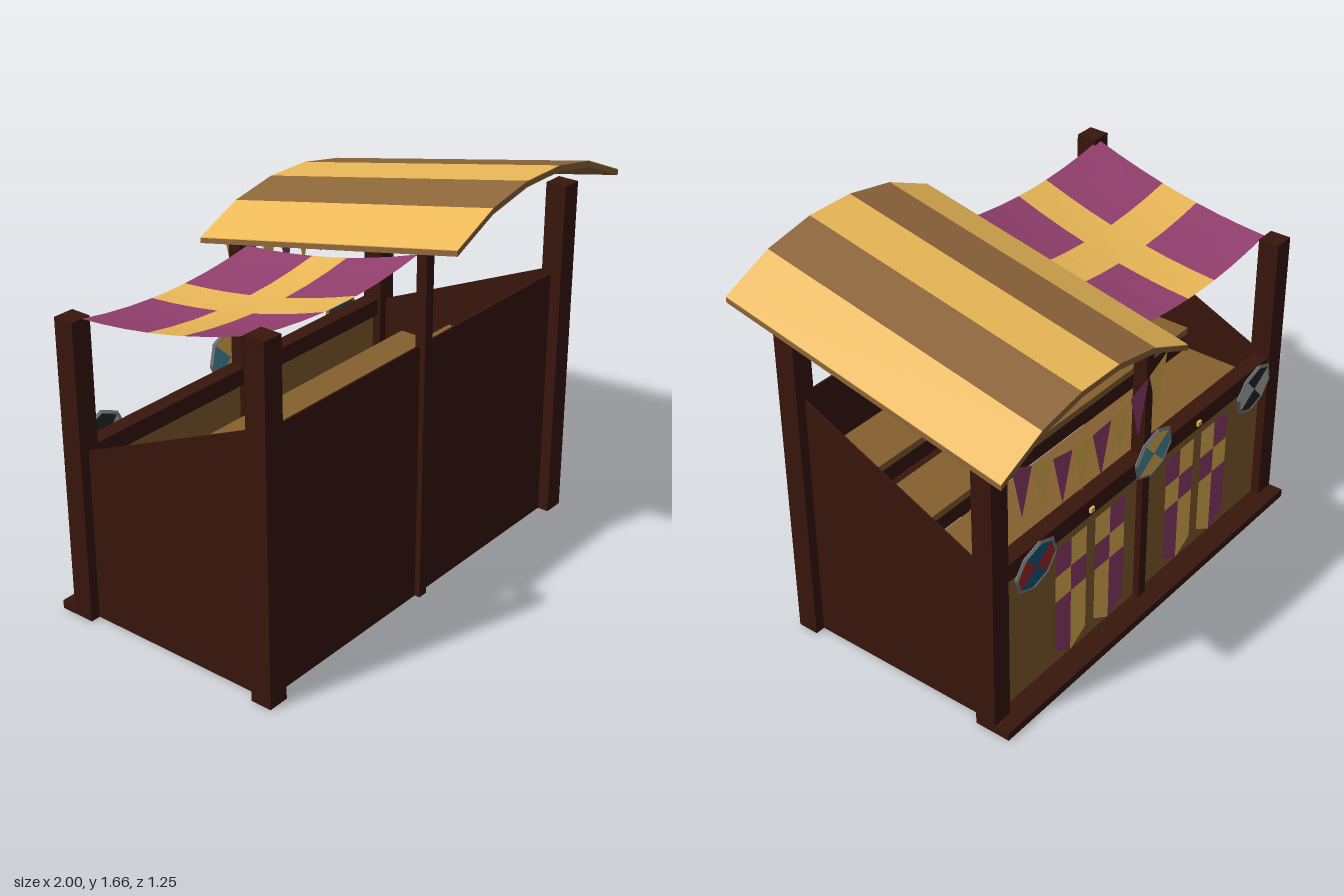
import * as THREE from 'three';

const mat = (color, side = THREE.FrontSide) =>
  new THREE.MeshStandardMaterial({ color, side, flatShading: true });
const WOOD = mat(0x38160c), TAN = mat(0x86602f), BROWN = mat(0x8f673b), GOLD = mat(0xecb957);
const STEEL = mat(0x7c8284), BLACK = mat(0x26282a), WHITE = mat(0xb4b6b6);
const TEAL = mat(0x4a93a8), BLUE = mat(0x165a80), RED = mat(0xa52a2a);
const CLOTH_GOLD = mat(0xecb957, THREE.DoubleSide), CLOTH_PURPLE = mat(0x933f6e, THREE.DoubleSide);

export function createModel() {
  const model = new THREE.Group();

  const add = (name, geometry, material, parent = model) => {
    const mesh = new THREE.Mesh(geometry, material);
    mesh.name = name;
    parent.add(mesh);
    return mesh;
  };
  // Box given by its extents on each axis
  const box = (name, [x0, x1], [y0, y1], [z0, z1], material = WOOD) => {
    const g = new THREE.BoxGeometry(x1 - x0, y1 - y0, z1 - z0);
    g.translate((x0 + x1) / 2, (y0 + y1) / 2, (z0 + z1) / 2);
    return add(name, g, material);
  };
  // Flat cloth piece from a few 2D corners
  const flat = (name, points, material, z) => {
    const shape = new THREE.Shape(points.map(([x, y]) => new THREE.Vector2(x, y)));
    add(name, new THREE.ShapeGeometry(shape), material).position.z = z;
  };

  // Corner posts and slim middle posts
  for (const [x0, x1, top] of [[-1, -0.91, 1.455], [0.815, 0.905, 1.47]]) {
    box('frontPost', [x0, x1], [0, top], [0.41, 0.5]);
    box('backPost', [x0, x1], [0, 1.265], [-0.5, -0.41]);
  }
  box('frontMiddlePost', [-0.07, -0.025], [0, 1.455], [0.43, 0.475]);
  box('backMiddlePost', [-0.07, -0.025], [0, 1.265], [-0.49, -0.43]);

  // Front wall, low back panel, rail and foot plank
  box('frontWall', [-0.955, 0.86], [0, 1.09], [0.444, 0.452]);
  box('backPanel', [-0.955, 0.86], [0, 0.7], [-0.462, -0.45], TAN);
  box('backRail', [-0.955, 0.86], [0.66, 0.735], [-0.495, -0.425]);
  box('footPlank', [-1, 0.905], [0, 0.035], [-0.565, -0.41]);

  // Thin side walls with a sloping top edge
  for (const x of [-0.957, 0.855]) {
    const s = new THREE.Shape();
    s.moveTo(-0.45, 0);
    s.lineTo(0.45, 0);
    s.lineTo(0.45, 0.712);
    s.lineTo(-0.45, 1.108);
    const g = new THREE.ExtrudeGeometry(s, { depth: 0.008, bevelEnabled: false });
    g.rotateY(Math.PI / 2);
    add('sideWall', g, WOOD).position.x = x;
  }

  // Stepped benches rising to the front wall, with a platform under the top one
  for (const [y, z0, z1] of [[0.6, -0.3, -0.07], [0.7, -0.05, 0.17], [0.82, 0.2, 0.42]]) {
    box('benchSeat', [-0.95, 0.855], [y - 0.03, y], [z0 - 0.02, z1], TAN);
    box('benchRiser', [-0.95, 0.855], [y - 0.12, y - 0.03], [z0, z0 + 0.02]);
  }
  box('benchPlatform', [-0.95, 0.855], [0.53, 0.56], [0.16, 0.445]);
  box('platformFascia', [-0.95, 0.855], [0.53, 0.6], [0.145, 0.16], TAN);

  // Arched roof: five striped planks, sloping down to the back
  const roofX = [-0.09, 0.125, 0.345, 0.56, 0.78, 1];
  const roofY = [1.52, 1.615, 1.657, 1.657, 1.615, 1.52];
  const slope = (g) => {
    const p = g.attributes.position;
    for (let i = 0; i < p.count; i++) p.setY(i, p.getY(i) - (0.62 - p.getZ(i)) * 0.21);
    g.computeVertexNormals();
    return g;
  };
  const roofStrip = (name, i, top, bottom, material) => {
    const s = new THREE.Shape();
    s.moveTo(roofX[i], roofY[i] + bottom);
    s.lineTo(roofX[i + 1], roofY[i + 1] + bottom);
    s.lineTo(roofX[i + 1], roofY[i + 1] + top);
    s.lineTo(roofX[i], roofY[i] + top);
    const g = new THREE.ExtrudeGeometry(s, { depth: 1.245, bevelEnabled: false });
    add(name, slope(g.translate(0, 0, -0.623)), material);
  };
  for (let i = 0; i < 5; i++) {
    roofStrip('roofStripe', i, 0, -0.003, i % 2 ? BROWN : GOLD);
    roofStrip('roofBoard', i, -0.003, -0.025, BROWN);
  }

  // Sagging awning with a gold cross, made of 3 x 3 patches
  const ax = [-0.95, -0.59, -0.41, -0.05], az = [-0.41, -0.08, 0.09, 0.42];
  for (let i = 0; i < 3; i++) for (let j = 0; j < 3; j++) {
    const w = ax[i + 1] - ax[i], d = az[j + 1] - az[j];
    const g = new THREE.PlaneGeometry(w, d, 3, 3);
    g.rotateX(-Math.PI / 2).translate(ax[i] + w / 2, 0, az[j] + d / 2);
    const p = g.attributes.position;
    for (let k = 0; k < p.count; k++) {
      const u = (p.getX(k) + 0.5) / 0.45, v = (p.getZ(k) + 0.41) / 0.83;
      p.setY(k, 1.265 + 0.175 * v - 0.043 * (1 - u * u) - 0.12 * v * (1 - v));
    }
    g.computeVertexNormals();
    add('awningPatch', g, i === 1 || j === 1 ? CLOTH_GOLD : CLOTH_PURPLE);
  }

  // Pennants hanging on a slack line below the back edge of the roof
  const lineY = (x) => 1.16 + 0.12 * ((x - 0.48) / 0.45) ** 2;
  for (let i = 0; i < 8; i++) {
    const x = 0.025 + i * 0.1135, x2 = x + 0.11;
    flat('pennant', [[x, lineY(x)], [x + 0.055, lineY(x + 0.055) - 0.21], [x2, lineY(x2)]],
      i % 2 ? CLOTH_PURPLE : CLOTH_GOLD, -0.61);
  }

  // Pairs of checked banners with pointed ends, and a peg between them
  for (const pair of [-0.395, 0.318]) {
    box('peg', [pair - 0.012, pair + 0.012], [0.68, 0.7], [-0.505, -0.49], GOLD);
    for (const side of [-1, 1]) for (const col of [-1, 1]) {
      const c = pair + side * 0.122, edge = c + col * 0.095;
      const outer = side === col;
      [[0.63, 0.5], [0.5, 0.38], [0.38, 0.14]].forEach(([top, low], row) => {
        const tip = row === 2 ? 0.085 : low;
        flat('banner', [[c, top], [c, tip], [edge, low], [edge, top]],
          outer === (row !== 1) ? CLOTH_PURPLE : CLOTH_GOLD, -0.497);
      });
    }
  }

  // Quartered octagonal shields leaning out from the rail
  const shields = [[-0.77, 0.665, WHITE, BLACK], [-0.05, 0.748, TEAL, GOLD], [0.68, 0.665, RED, BLUE]];
  for (const [x, y, a, b] of shields) {
    const shield = new THREE.Group();
    shield.name = 'shield';
    for (let q = 0; q < 4; q++) {
      const g = new THREE.CylinderGeometry(0.112, 0.112, 0.008, 2, 1, false,
        Math.PI / 4 + q * Math.PI / 2, Math.PI / 2);
      add('shieldQuarter', g.rotateX(Math.PI / 2), q % 2 ? b : a, shield);
    }
    const rim = new THREE.TorusGeometry(0.112, 0.011, 4, 8).scale(1, 1, 0.7);
    add('shieldRim', rim, STEEL, shield);
    shield.rotation.set(0.15, Math.PI, 0, 'YXZ');
    shield.position.set(x, y, -0.518);
    model.add(shield);
  }
  return model;
}
